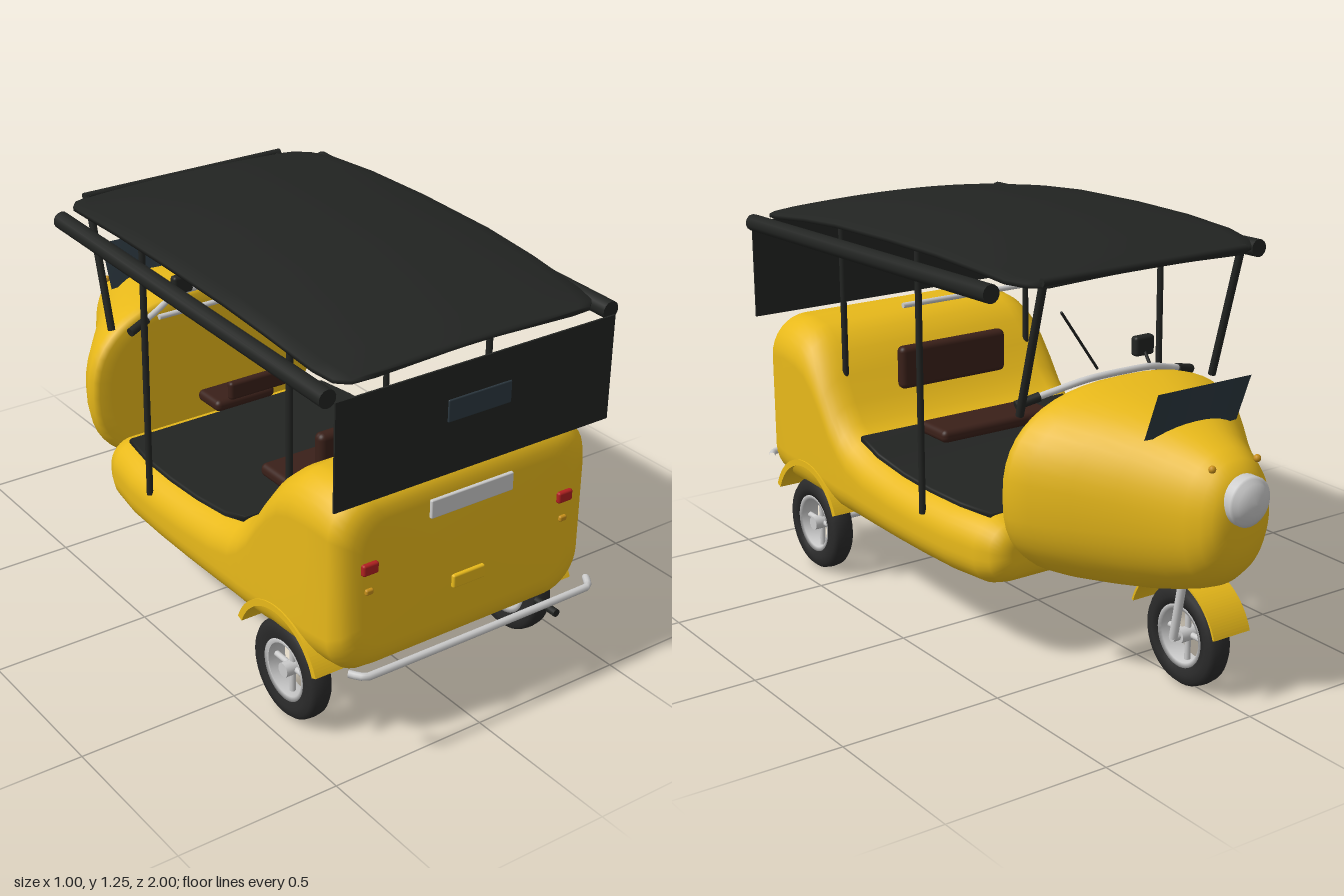
import * as THREE from 'three';
import { RoundedBoxGeometry } from 'three/addons/geometries/RoundedBoxGeometry.js';

const mat = (color, side = THREE.FrontSide) => new THREE.MeshStandardMaterial({ color, side });
const YELLOW = mat(0xe8b91a), BLACK = mat(0x222422), CLOTH = mat(0x222422, THREE.DoubleSide);
const METAL = mat(0xcccccc), LEATHER = mat(0x3a2019), TYRE = mat(0x2a2a2a);
const RED = mat(0xb02020), AMBER = mat(0xc8901a), GLASS = mat(0x2c3840, THREE.DoubleSide);
const V = (x, y, z) => new THREE.Vector3(x, y, z);

export function createModel() {
  const model = new THREE.Group();
  const add = (name, geo, material, x = 0, y = 0, z = 0, parent = model) => {
    const m = new THREE.Mesh(geo, material);
    m.name = name;
    m.position.set(x, y, z);
    parent.add(m);
    return m;
  };
  const box = (name, w, h, d, material, x, y, z, r = 0.01) =>
    add(name, new RoundedBoxGeometry(w, h, d, 3, r), material, x, y, z);
  // straight round bar between two points
  const bar = (name, a, b, r, material, parent = model) => {
    const m = add(name, new THREE.CylinderGeometry(r, r, a.distanceTo(b), 14), material, 0, 0, 0, parent);
    m.position.copy(a).add(b).multiplyScalar(0.5);
    m.quaternion.setFromUnitVectors(V(0, 1, 0), b.clone().sub(a).normalize());
    return m;
  };
  const tube = (name, pts, r, material, tension = 0.1) =>
    add(name, new THREE.TubeGeometry(new THREE.CatmullRomCurve3(pts, false, 'catmullrom', tension), 48, r, 10), material);

  // closed skin through rings that run counterclockwise, ordered from +z to -z
  const loft = (rings) => {
    const n = rings[0].length, pos = [], idx = [];
    rings.forEach((ring) => ring.forEach((p) => pos.push(p.x, p.y, p.z)));
    for (let s = 0; s < rings.length - 1; s++)
      for (let i = 0; i < n; i++) {
        const a = s * n + i, b = s * n + (i + 1) % n;
        idx.push(a, a + n, b, b, a + n, b + n);
      }
    [rings[0], rings[rings.length - 1]].forEach((ring, end) => {
      const c = ring.reduce((t, p) => t.add(p), V(0, 0, 0)).divideScalar(n);
      const ci = pos.length / 3, o = end ? (rings.length - 1) * n : 0;
      pos.push(c.x, c.y, c.z);
      for (let i = 0; i < n; i++) {
        const j = o + (i + 1) % n;
        end ? idx.push(ci, j, o + i) : idx.push(ci, o + i, j);
      }
    });
    const g = new THREE.BufferGeometry();
    g.setAttribute('position', new THREE.Float32BufferAttribute(pos, 3));
    g.setIndex(idx);
    g.computeVertexNormals();
    return g;
  };
  const roundRect = (z, hw, y0, y1, r) => {
    const ring = [];
    [[1, 1], [-1, 1], [-1, -1], [1, -1]].forEach(([sx, sy], q) => {
      for (let k = 0; k <= 8; k++) {
        const a = (q + k / 8) * Math.PI / 2;
        ring.push(V(sx * (hw - r) + r * Math.cos(a), (sy > 0 ? y1 - r : y0 + r) + r * Math.sin(a), z));
      }
    });
    return ring;
  };
  const superOval = (z, hw, y0, y1, n) => {
    const f = (v) => Math.sign(v) * Math.abs(v) ** (2 / n);
    return Array.from({ length: 48 }, (_, i) => {
      const a = i / 48 * Math.PI * 2;
      return V(hw * f(Math.cos(a)), (y0 + y1) / 2 + (y1 - y0) / 2 * f(Math.sin(a)), z);
    });
  };

  // passenger hull: z, half width, bottom, top, corner radius
  const hull = [
    [0.915, 0.36, 0.33, 0.72, 0.09], [0.911, 0.39, 0.3, 0.75, 0.1], [0.9, 0.42, 0.268, 0.782, 0.115],
    [0.87, 0.445, 0.245, 0.803, 0.125], [0.78, 0.455, 0.24, 0.812, 0.125], [0.7, 0.456, 0.24, 0.802, 0.125],
    [0.65, 0.456, 0.24, 0.778, 0.12], [0.6, 0.456, 0.24, 0.735, 0.12], [0.55, 0.456, 0.24, 0.665, 0.11],
    [0.5, 0.456, 0.24, 0.59, 0.105], [0.45, 0.455, 0.24, 0.537, 0.1], [0.4, 0.455, 0.24, 0.505, 0.1],
    [0.3, 0.455, 0.24, 0.475, 0.095], [0.15, 0.455, 0.24, 0.456, 0.09], [0, 0.455, 0.24, 0.45, 0.09],
    [-0.15, 0.45, 0.24, 0.45, 0.09], [-0.28, 0.43, 0.24, 0.45, 0.09], [-0.33, 0.41, 0.258, 0.435, 0.075],
    [-0.352, 0.385, 0.285, 0.41, 0.055], [-0.36, 0.35, 0.315, 0.38, 0.03]];
  add('passengerHull', loft(hull.map((s) => roundRect(...s))), YELLOW);
  // floor mat follows the top of the hull
  const matRows = hull.filter((s) => s[0] <= 0.4 && s[0] >= -0.3);
  add('floorMat', loft(matRows.map(([z, w, , top]) => roundRect(z, w - 0.06, top - 0.02, top + 0.008, 0.008))), BLACK);

  // nose shell: z, half width, bottom, top, squareness
  const nose = [
    [-0.4, 0.36, 0.32, 0.79, 2.5], [-0.402, 0.4, 0.285, 0.825, 2.5], [-0.412, 0.418, 0.272, 0.84, 2.5],
    [-0.44, 0.42, 0.268, 0.843, 2.5], [-0.5, 0.395, 0.27, 0.838, 2.5], [-0.6, 0.325, 0.276, 0.824, 2.4],
    [-0.7, 0.253, 0.29, 0.8, 2.3], [-0.8, 0.187, 0.317, 0.77, 2.2], [-0.87, 0.148, 0.348, 0.745, 2.2],
    [-0.91, 0.124, 0.385, 0.725, 2.2], [-0.935, 0.103, 0.425, 0.7, 2.1], [-0.95, 0.075, 0.48, 0.67, 2],
    [-0.954, 0.04, 0.55, 0.64, 2]];
  add('noseShell', loft(nose.map((s) => superOval(...s))), YELLOW);

  // headlight with a domed lens
  const lamp = [[0, 0.05], [0.03, 0.047], [0.055, 0.035], [0.064, 0.022], [0.072, 0.02], [0.072, -0.03]];
  const light = add('headlight', new THREE.LatheGeometry(lamp.map((p) => new THREE.Vector2(...p)).reverse(), 32), METAL, 0, 0.62, -0.95);
  light.rotation.x = -Math.PI / 2;
  for (const s of [-1, 1]) add('noseIndicator', new THREE.SphereGeometry(0.011, 12, 8), AMBER, s * 0.08, 0.71, -0.905);

  // wheels
  const wheel = (name, x, z, w) => {
    const g = new THREE.Group();
    g.name = name;
    g.position.set(x, 0.152, z);
    model.add(g);
    const h = w / 2;
    const section = [[0.09, -h * 0.8], [0.115, -h], [0.138, -h * 0.92], [0.149, -h * 0.6], [0.152, 0],
      [0.149, h * 0.6], [0.138, h * 0.92], [0.115, h], [0.09, h * 0.8], [0.09, -h * 0.8]];
    const rim = [[0.08, -h * 0.75], [0.094, -h * 0.85], [0.094, h * 0.85], [0.08, h * 0.75], [0.08, -h * 0.75]];
    for (const [n, prof, m] of [['tyre', section, TYRE], ['rim', rim, METAL]])
      add(n, new THREE.LatheGeometry(prof.map((p) => new THREE.Vector2(...p)), 40), m, 0, 0, 0, g).rotation.z = -Math.PI / 2;
    bar('hub', V(-h * 0.9, 0, 0), V(h * 0.9, 0, 0), 0.022, METAL, g);
    for (let k = 0; k < 4; k++) {
      const a = k * Math.PI / 2;
      bar('spoke', V(0, 0, 0), V(0, 0.085 * Math.cos(a), 0.085 * Math.sin(a)), 0.009, METAL, g);
    }
  };
  wheel('frontWheel', 0, -0.73, 0.08);
  // curved mudguard band
  const mudguard = (name, x0, x1, y, z, r0, r1, a) => {
    const shape = new THREE.Shape();
    shape.absarc(0, 0, r1, a, Math.PI - a, false);
    shape.absarc(0, 0, r0, Math.PI - a, a, true);
    const geo = new THREE.ExtrudeGeometry(shape, { depth: x1 - x0, bevelEnabled: false, curveSegments: 28 });
    add(name, geo.rotateY(Math.PI / 2), YELLOW, x0, y, z);
  };
  mudguard('frontMudguard', -0.065, 0.065, 0.155, -0.735, 0.183, 0.19, 0.3);
  for (const s of [-1, 1]) {
    wheel('rearWheel', s * 0.402, 0.655, 0.076);
    mudguard('rearMudguard', s > 0 ? 0.33 : -0.46, s > 0 ? 0.46 : -0.33, 0.165, 0.655, 0.185, 0.205, 0.38);
    bar('forkLeg', V(s * 0.054, 0.152, -0.73), V(s * 0.054, 0.36, -0.77), 0.013, METAL);
  }
  bar('rearAxle', V(-0.4, 0.152, 0.655), V(0.4, 0.152, 0.655), 0.012, METAL);
  bar('frontAxle', V(-0.06, 0.152, -0.73), V(0.06, 0.152, -0.73), 0.012, METAL);

  // canopy: z, half width, edge height, crown height
  const canopy = [[0.91, 0.33, 1.15, 1.16], [0.9, 0.4, 1.146, 1.163], [0.87, 0.435, 1.147, 1.17], [0.8, 0.45, 1.155, 1.185],
    [0.6, 0.458, 1.18, 1.218], [0.4, 0.462, 1.197, 1.238], [0.1, 0.462, 1.207, 1.251], [-0.15, 0.458, 1.208, 1.246],
    [-0.35, 0.45, 1.2, 1.225], [-0.45, 0.435, 1.188, 1.206], [-0.5, 0.4, 1.182, 1.195], [-0.525, 0.34, 1.178, 1.185]];
  const arch = ([z, w, edge, crown]) => {
    const ring = [];
    for (let i = 0; i <= 20; i++) { const t = 1 - i / 10; ring.push(V(w * t, crown - (crown - edge) * t * t, z)); }
    for (let i = 0; i <= 20; i++) { const t = i / 10 - 1; ring.push(V(w * t, crown - (crown - edge) * t * t - 0.012, z)); }
    return ring;
  };
  add('canopy', loft(canopy.map(arch)), CLOTH);

  // frame, rolled side blinds and windscreen pillars
  for (const s of [-1, 1]) {
    bar('rolledBlind', V(s * 0.476, 1.117, 0.905), V(s * 0.476, 1.155, -0.45), 0.027, BLACK);
    bar('middlePost', V(s * 0.445, 0.4, -0.035), V(s * 0.445, 1.2, -0.035), 0.01, BLACK);
    bar('rearPost', V(s * 0.35, 0.64, 0.56), V(s * 0.35, 1.19, 0.56), 0.01, BLACK);
    bar('screenPillar', V(s * 0.35, 0.78, -0.4), V(s * 0.35, 1.185, -0.513), 0.012, BLACK);
  }
  bar('screenTopRail', V(-0.36, 1.183, -0.518), V(0.36, 1.183, -0.518), 0.012, BLACK);
  bar('grabRail', V(-0.445, 1.015, 0.05), V(0.445, 1.015, 0.05), 0.008, METAL);
  bar('wiper', V(0.08, 0.87, -0.4), V(0.245, 1.07, -0.45), 0.004, BLACK);

  // rear curtain with window
  add('rearCurtain', new THREE.BoxGeometry(0.94, 0.315, 0.006), BLACK, 0, 0.957, 0.927);
  box('curtainWindow', 0.215, 0.066, 0.01, GLASS, 0, 0.987, 0.929, 0.004);

  // curved wind deflector on the nose
  const shield = new THREE.PlaneGeometry(0.33, 0.15, 16, 4);
  const sp = shield.attributes.position;
  for (let i = 0; i < sp.count; i++) {
    const x = sp.getX(i), t = sp.getY(i) / 0.15 + 0.5;
    sp.setXYZ(i, x, 0.757 + 0.143 * t, -0.732 - 0.045 * t + x * x * 0.4 * (1 - t));
  }
  shield.computeVertexNormals();
  add('windDeflector', shield, GLASS);

  // steering
  tube('handlebar', [V(-0.31, 0.79, -0.34), V(-0.22, 0.815, -0.365), V(-0.1, 0.845, -0.4), V(0.1, 0.845, -0.4),
    V(0.22, 0.815, -0.365), V(0.31, 0.79, -0.34)], 0.01, METAL, 0.4);
  for (const s of [-1, 1]) bar('handGrip', V(s * 0.25, 0.806, -0.356), V(s * 0.32, 0.787, -0.337), 0.014, BLACK);
  box('instrument', 0.07, 0.06, 0.03, BLACK, -0.12, 0.897, -0.355);
  bar('instrumentStalk', V(-0.12, 0.84, -0.395), V(-0.12, 0.89, -0.358), 0.005, BLACK);

  // seats
  box('passengerCushion', 0.42, 0.042, 0.15, LEATHER, 0, 0.522, 0.28, 0.018);
  box('passengerBackrest', 0.4, 0.14, 0.042, LEATHER, 0, 0.683, 0.48, 0.018);
  box('driverCushion', 0.22, 0.038, 0.12, LEATHER, 0, 0.533, -0.235, 0.017);
  box('driverBackrest', 0.22, 0.06, 0.026, LEATHER, 0, 0.62, -0.11, 0.011);

  // tail fittings
  box('numberPanel', 0.285, 0.056, 0.016, METAL, 0, 0.7, 0.916, 0.004);
  box('tailHandle', 0.112, 0.042, 0.02, YELLOW, 0, 0.445, 0.916, 0.006);
  for (const s of [-1, 1]) {
    box('tailLight', 0.052, 0.035, 0.022, RED, s * 0.341, 0.587, 0.916, 0.007);
    box('tailIndicator', 0.026, 0.018, 0.02, AMBER, s * 0.341, 0.515, 0.914, 0.006);
  }
  tube('rearBumper', [V(-0.425, 0.303, 0.945), V(-0.39, 0.303, 0.986), V(0, 0.303, 0.988), V(0.39, 0.303, 0.986),
    V(0.425, 0.303, 0.945)], 0.011, METAL);
  bar('exhaustPipe', V(0.32, 0.218, 0.86), V(0.32, 0.218, 0.945), 0.012, BLACK);
  return model;
}
